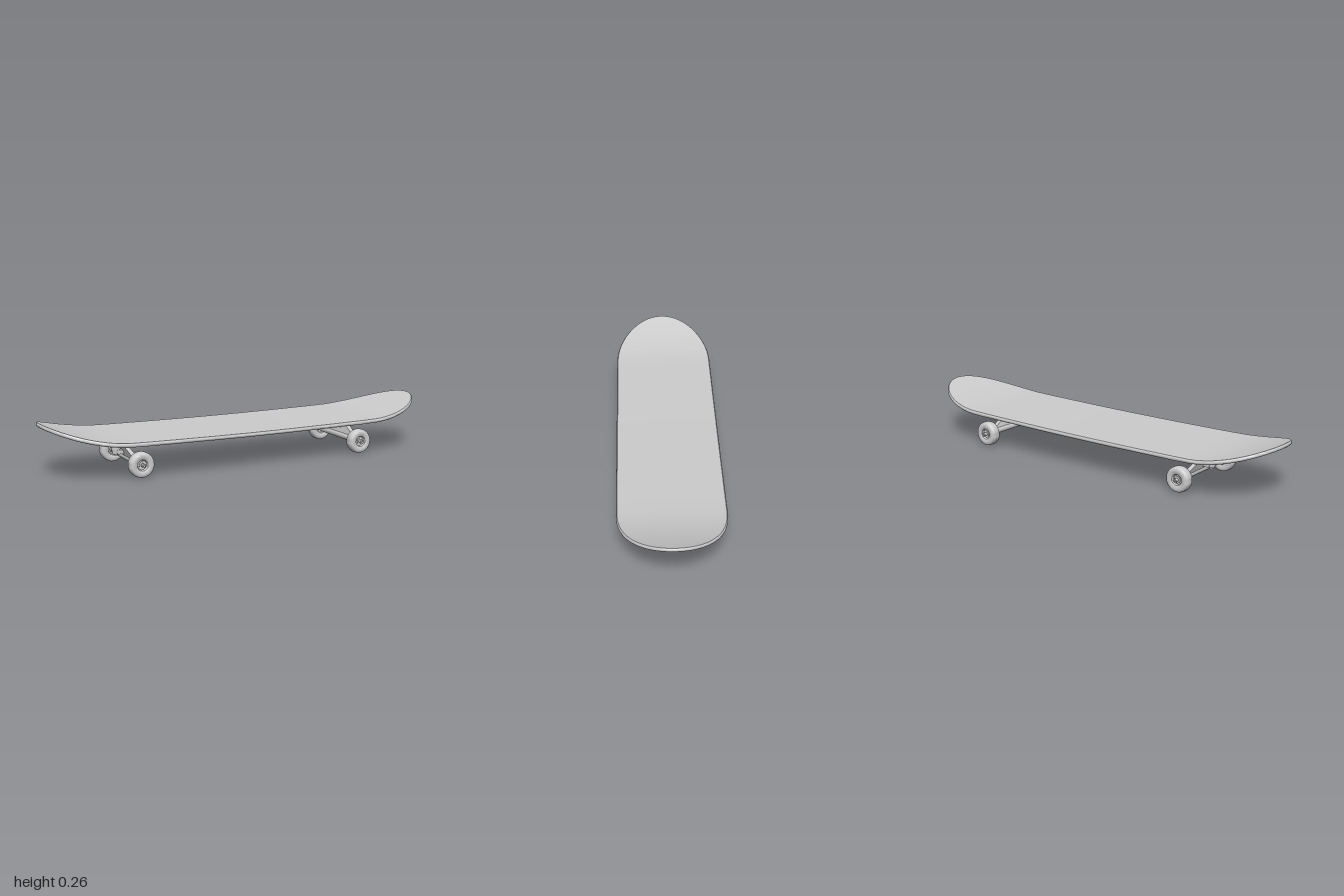
import * as THREE from 'three';
import { toCreasedNormals } from 'three/addons/utils/BufferGeometryUtils.js';

const grey = new THREE.MeshStandardMaterial({ color: 0xcccccc });

function add(parent, name, geometry, x = 0, y = 0, z = 0) {
  const mesh = new THREE.Mesh(geometry, grey);
  mesh.name = name;
  mesh.position.set(x, y, z);
  parent.add(mesh);
  return mesh;
}

// Height of the deck top: slight sag in the middle, kicked up at nose and tail
function deckTop(x) {
  const a = Math.abs(x);
  const sag = 0.005 * Math.cos(Math.min(a / 0.6, 1) * Math.PI / 2);
  return 0.176 - sag + 0.081 * Math.pow(Math.max(0, (a - 0.6) / 0.4), 2);
}

// Deck: lofted cross-sections with a rounded rim, narrowing to elliptical ends
function deckGeometry() {
  const straight = 0.66, halfWidth = 0.247, thick = 0.019;
  const stations = [];
  for (let i = 0; i <= 20; i++) {
    const t = (i / 20) * Math.PI / 2;
    stations.push([-straight - (1 - straight) * Math.cos(t), halfWidth * Math.sin(t)]);
  }
  for (let i = 1; i < 16; i++) stations.push([-straight + 2 * straight * i / 16, halfWidth]);
  for (let i = 20; i >= 0; i--) stations.push([-stations[i][0], stations[i][1]]);

  // side, inset, drop below the top surface
  const rim = [[0.005, 0], [0.001, 0.004], [0, thick / 2], [0.001, thick - 0.004], [0.005, thick]];
  const section = [
    ...rim.map(([e, d]) => [1, e, d]),
    ...rim.slice().reverse().map(([e, d]) => [-1, e, d]),
  ];
  const n = section.length, pos = [], index = [];
  stations.forEach(([x, w], i) => {
    for (const [side, e, d] of section) {
      const px = x * (1 - e);
      pos.push(px, deckTop(x) - d, side * w * (1 - e / halfWidth));
    }
    if (i === 0) return;
    for (let k = 0; k < n; k++) {
      const a = (i - 1) * n + k, b = (i - 1) * n + (k + 1) % n;
      index.push(a, b, b + n, a, b + n, a + n);
    }
  });
  const g = new THREE.BufferGeometry();
  g.setAttribute('position', new THREE.Float32BufferAttribute(pos, 3));
  g.setIndex(index);
  return toCreasedNormals(g, 0.7);
}

// Flat plate with rounded corners, lying in the xz plane, base at y = 0
function plateGeometry(lx, lz, h, r) {
  const s = new THREE.Shape(), a = lx / 2 - r, b = lz / 2 - r;
  s.absarc(a, b, r, 0, Math.PI / 2);
  s.absarc(-a, b, r, Math.PI / 2, Math.PI);
  s.absarc(-a, -b, r, Math.PI, Math.PI * 1.5);
  s.absarc(a, -b, r, Math.PI * 1.5, Math.PI * 2);
  const g = new THREE.ExtrudeGeometry(s, { depth: h, bevelEnabled: false, curveSegments: 6 });
  return g.rotateX(-Math.PI / 2);
}

// Wheel: rounded tyre with a recessed hub on both faces, axis along y
function wheelGeometry() {
  const half = [[0.008, 0.012], [0.022, 0.012], [0.026, 0.022], [0.029, 0.024], [0.044, 0.026],
    [0.052, 0.0245], [0.057, 0.020], [0.0595, 0.013], [0.06, 0.005]];
  const pts = [
    ...half.map(([r, y]) => new THREE.Vector2(r, -y)),
    ...half.slice().reverse().map(([r, y]) => new THREE.Vector2(r, y)),
  ];
  return toCreasedNormals(new THREE.LatheGeometry(pts, 40), 0.6);
}

// Triangular web rising from the axle, leaning towards the kingpin
function hangerGeometry() {
  const s = new THREE.Shape();
  [[-0.15, 0.06], [0.15, 0.06], [0.15, 0.076], [0.03, 0.13], [-0.03, 0.13], [-0.15, 0.076]]
    .forEach(([x, y], i) => (i ? s.lineTo(x, y) : s.moveTo(x, y)));
  const g = new THREE.ExtrudeGeometry(s, { depth: 0.022, bevelEnabled: false });
  g.translate(0, 0, -0.011).rotateY(Math.PI / 2);
  const p = g.attributes.position;
  for (let i = 0; i < p.count; i++) p.setX(i, p.getX(i) + (p.getY(i) - 0.06) * 0.3);
  g.computeVertexNormals();
  return g;
}

function buildTruck(name) {
  const truck = new THREE.Group();
  truck.name = name;

  // Mounting plates under the deck
  add(truck, 'riserPad', plateGeometry(0.16, 0.175, 0.012, 0.02), 0.015, 0.147);
  add(truck, 'basePlate', plateGeometry(0.16, 0.165, 0.008, 0.025), 0.015, 0.139);
  add(truck, 'basePlateBoss', plateGeometry(0.12, 0.12, 0.012, 0.03), 0.02, 0.128);

  // Axle housing and web
  const rod = (r, l, sides = 24) => new THREE.CylinderGeometry(r, r, l, sides).rotateX(Math.PI / 2);
  add(truck, 'axleHousing', rod(0.016, 0.31), 0, 0.061);
  add(truck, 'axle', rod(0.0045, 0.462, 16), 0, 0.06);
  add(truck, 'hangerWeb', hangerGeometry());

  // Kingpin with bushings and the lug that ties it to the axle housing
  add(truck, 'kingpinLug', new THREE.BoxGeometry(0.05, 0.02, 0.04), 0.025, 0.088);
  add(truck, 'upperBushing', new THREE.CylinderGeometry(0.022, 0.022, 0.035, 24), 0.05, 0.118);
  add(truck, 'lowerBushing', new THREE.CylinderGeometry(0.02, 0.017, 0.024, 24), 0.05, 0.089);
  add(truck, 'kingpinNut', new THREE.CylinderGeometry(0.009, 0.009, 0.008, 6), 0.05, 0.074);

  // Wheels with nuts and washers
  for (const s of [1, -1]) {
    add(truck, 'wheel', wheelGeometry().rotateX(Math.PI / 2), 0, 0.06, s * 0.1885);
    add(truck, 'bearing', rod(0.016, 0.034), 0, 0.06, s * 0.1885);
    add(truck, 'washer', rod(0.008, 0.012, 16), 0, 0.06, s * 0.211);
    add(truck, 'axleNut', rod(0.0105, 0.008, 6), 0, 0.06, s * 0.221);
  }
  return truck;
}

export function createModel() {
  const model = new THREE.Group();
  model.name = 'skateboard';
  add(model, 'deck', deckGeometry());

  // Two trucks facing opposite ways, kingpins outward
  for (const s of [1, -1]) {
    const truck = buildTruck(s > 0 ? 'leftTruck' : 'rightTruck');
    truck.position.set(0.01 + s * 0.585, 0, -0.0125);
    truck.rotation.y = s > 0 ? 0 : Math.PI;
    model.add(truck);
  }
  return model;
}
